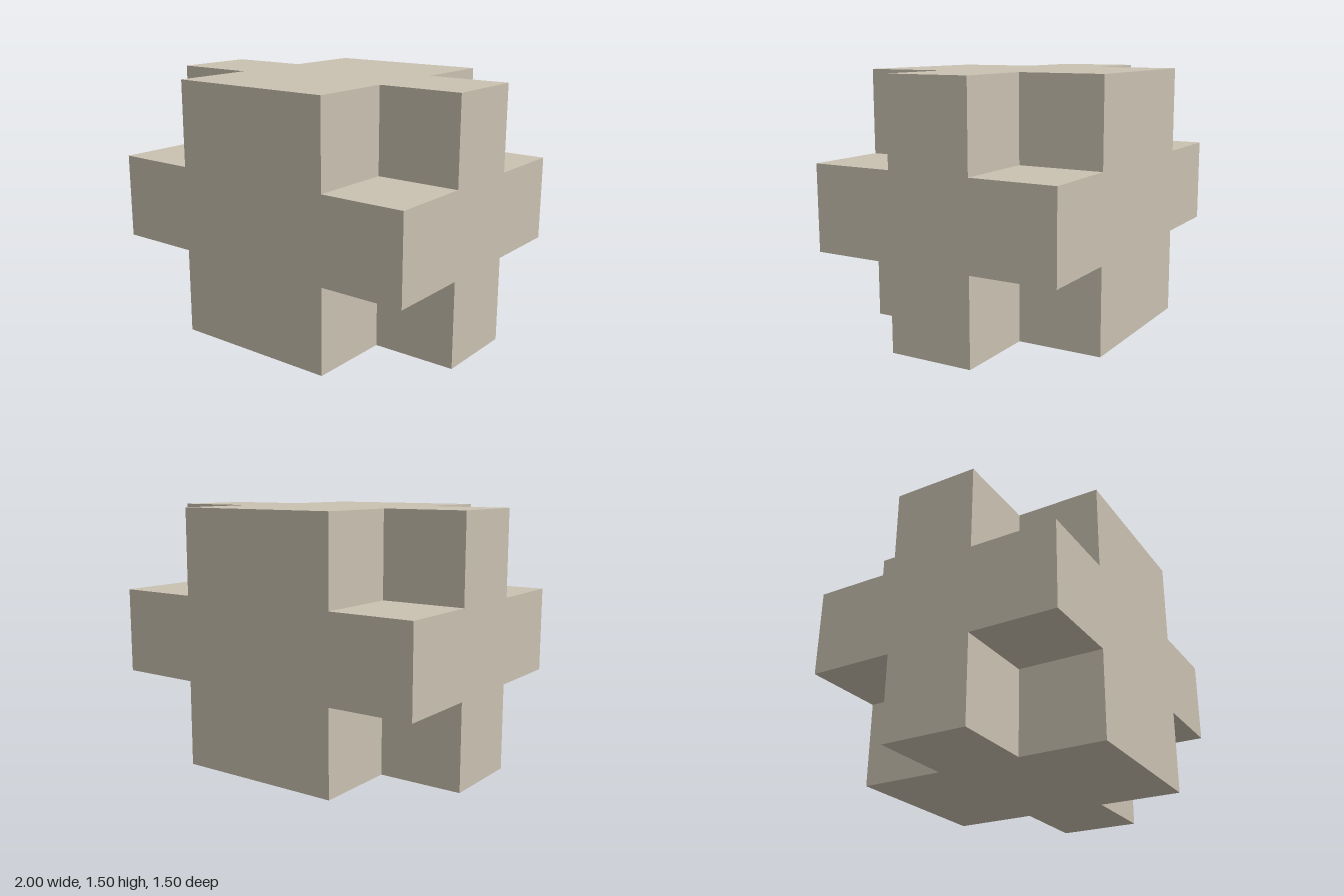
import * as THREE from 'three';

const UNIT = 0.5; // side of the cube missing from every corner

// Cross-shaped outline, three units wide and high
function crossShape() {
  const a = UNIT / 2, b = UNIT * 1.5;
  return new THREE.Shape([
    [a, -b], [a, -a], [b, -a], [b, a], [a, a], [a, b],
    [-a, b], [-a, a], [-b, a], [-b, -a], [-a, -a], [-a, -b],
  ].map(([x, y]) => new THREE.Vector2(x, y)));
}

export function createModel() {
  const model = new THREE.Group();
  model.name = 'notchedBlock';

  const stone = new THREE.MeshStandardMaterial({ color: 0xc9c1b1 });
  stone.name = 'warm stone';

  // Full-height middle block
  const core = new THREE.Mesh(new THREE.BoxGeometry(2 * UNIT, 3 * UNIT, 3 * UNIT), stone);
  core.name = 'core';
  core.position.y = 1.5 * UNIT;
  model.add(core);

  // Cross-shaped end on each side, leaving the eight corners open
  const endGeometry = new THREE.ExtrudeGeometry(crossShape(), { depth: UNIT, bevelEnabled: false });
  for (const [name, side] of [['leftEnd', 1], ['rightEnd', -1]]) {
    const end = new THREE.Mesh(endGeometry, stone);
    end.name = name;
    end.rotation.y = side * Math.PI / 2;
    end.position.set(side * UNIT, 1.5 * UNIT, 0);
    model.add(end);
  }

  return model;
}
